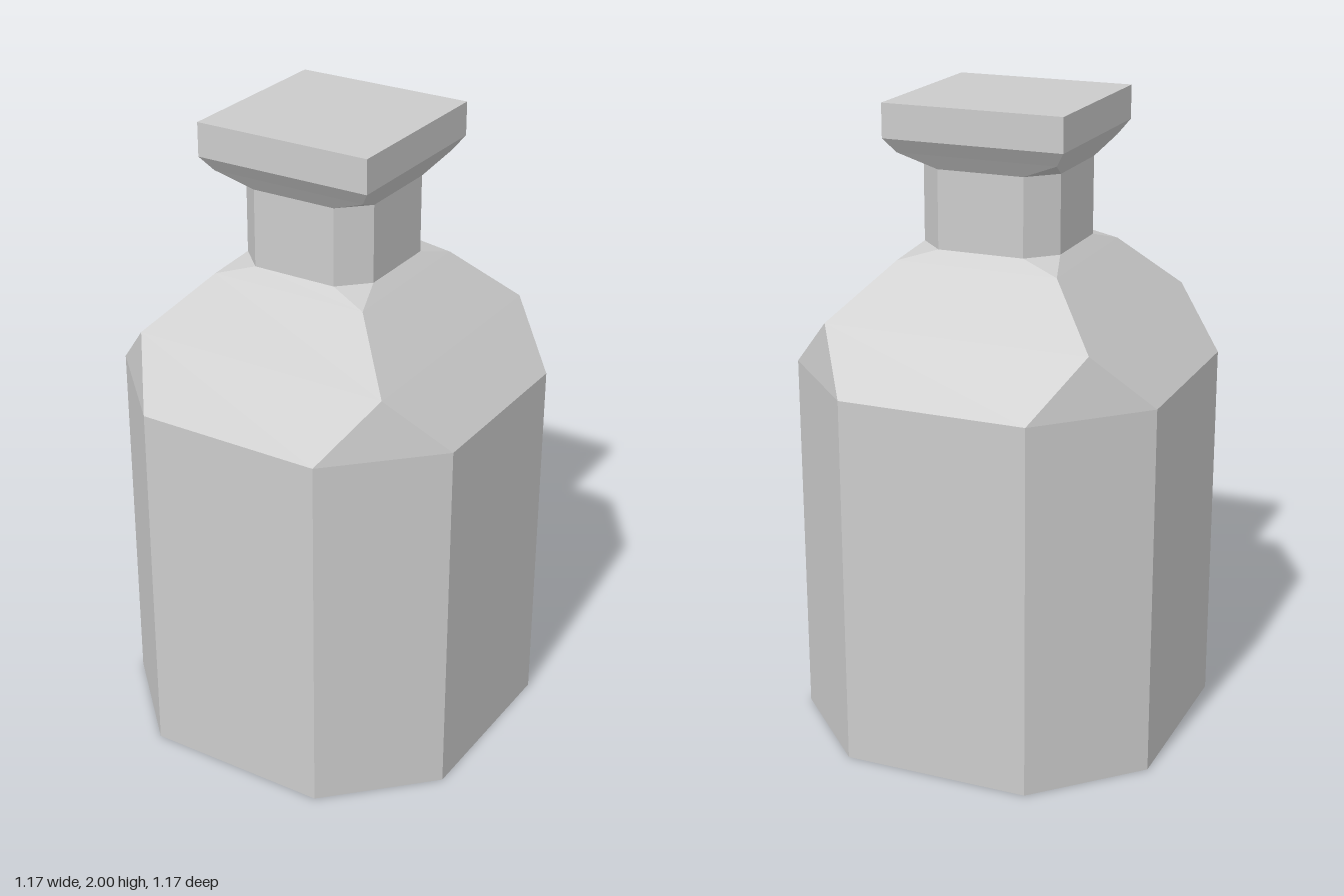
import * as THREE from 'three';

const material = new THREE.MeshStandardMaterial({ color: 0xcccccc, flatShading: true });

// Chamfered square ring: half = distance to the flat sides, flat = half length of each side.
// When flat equals half the corners close up into a plain square.
function ring([y, half, flat]) {
  const points = [];
  for (let k = 0; k < 4; k++) {
    for (const z of [-flat, flat]) {
      points.push(new THREE.Vector3(half, y, z).applyAxisAngle(new THREE.Vector3(0, 1, 0), -k * Math.PI / 2));
    }
  }
  return points;
}

// Skins a stack of rings, optionally closing the bottom or top.
function loft(name, sections, { bottom = false, top = false } = {}) {
  const rings = sections.map(ring);
  const positions = [];
  const triangle = (a, b, c) => {
    const area = b.clone().sub(a).cross(c.clone().sub(a)).length();
    if (area > 1e-7) for (const p of [a, b, c]) positions.push(p.x, p.y, p.z);
  };
  for (let r = 0; r < rings.length - 1; r++) {
    const low = rings[r], high = rings[r + 1];
    for (let i = 0; i < 8; i++) {
      const j = (i + 1) % 8;
      triangle(low[i], high[i], high[j]);
      triangle(low[i], high[j], low[j]);
    }
  }
  const first = rings[0], last = rings[rings.length - 1];
  for (let i = 1; i < 7; i++) {
    if (bottom) triangle(first[0], first[i], first[i + 1]);
    if (top) triangle(last[0], last[i + 1], last[i]);
  }
  const geometry = new THREE.BufferGeometry();
  geometry.setAttribute('position', new THREE.Float32BufferAttribute(positions, 3));
  geometry.computeVertexNormals();
  const mesh = new THREE.Mesh(geometry, material);
  mesh.name = name;
  return mesh;
}

export function createModel() {
  const bottle = new THREE.Group();
  bottle.name = 'bottle';
  bottle.add(
    // Eight-sided body
    loft('body', [[0, 0.587, 0.296], [1.177, 0.587, 0.296]], { bottom: true }),
    // Sloping shoulder, pinched to square corners between the body and neck
    loft('shoulder', [
      [1.177, 0.587, 0.296], [1.353, 0.421, 0.421], [1.523, 0.258, 0.258], [1.56, 0.221, 0.137],
    ]),
    // Eight-sided neck
    loft('neck', [[1.56, 0.221, 0.137], [1.803, 0.221, 0.137]]),
    // Flared underside and square lip
    loft('lip', [
      [1.803, 0.221, 0.137], [1.85, 0.253, 0.253], [1.895, 0.285, 0.285], [2, 0.285, 0.285],
    ], { top: true }),
  );
  return bottle;
}
